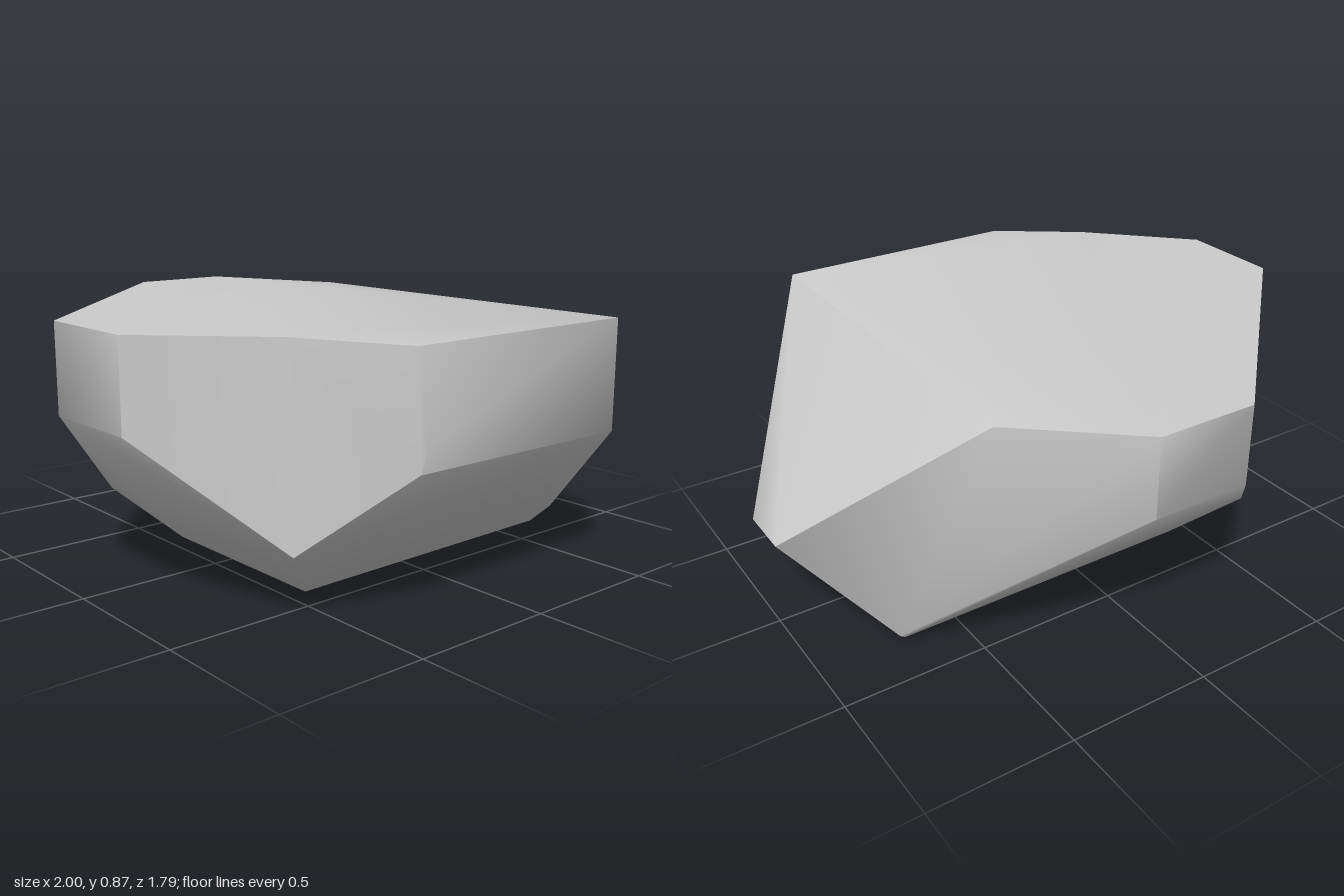
import * as THREE from 'three';
import { ConvexGeometry } from 'three/addons/geometries/ConvexGeometry.js';
import { toCreasedNormals } from 'three/addons/utils/BufferGeometryUtils.js';

// Corners of the chipped stone, grouped by region: [x, y, z]
const flatTop = [
  [-1, 0.865, 0.28], [-1, 0.865, -0.1], [-0.2, 0.865, -0.9], [0.15, 0.865, -0.9],
  [0.2, 0.865, -0.68], [-0.67, 0.865, 0.61],
];
const frontRim = [
  [-0.41, 0.845, 0.87], [0.49, 0.845, 0.87], [0.49, 0.845, -0.56],
];
const waist = [
  [-0.39, 0.55, 0.89], [-0.4, 0.48, 0.88], [0.49, 0.47, 0.87],
  [1, 0.33, 0.14], [1, 0.33, -0.05],
  [0.15, 0.59, -0.9], [-0.2, 0.59, -0.9],
  [-1, 0.57, -0.1], [-1, 0.57, 0.28],
];
const lowerChips = [
  [-0.655, 0.225, 0.625], [-0.61, 0.18, -0.49], [0.72, 0.035, -0.335], [0.74, 0.06, 0.43],
];
const base = [
  [-0.43, 0, 0.4], [0.69, 0, 0.38], [0.69, 0, -0.31], [-0.43, 0, -0.31],
];

export function createModel() {
  const group = new THREE.Group();
  group.name = 'rock';

  // Convex stone with softened facets; steep edges stay sharp
  const points = [...flatTop, ...frontRim, ...waist, ...lowerChips, ...base]
    .map((p) => new THREE.Vector3(...p));
  const geometry = toCreasedNormals(new ConvexGeometry(points), 1.0);
  const stone = new THREE.Mesh(geometry, new THREE.MeshStandardMaterial({ color: 0xcccccc }));
  stone.name = 'stone';
  group.add(stone);

  return group;
}
